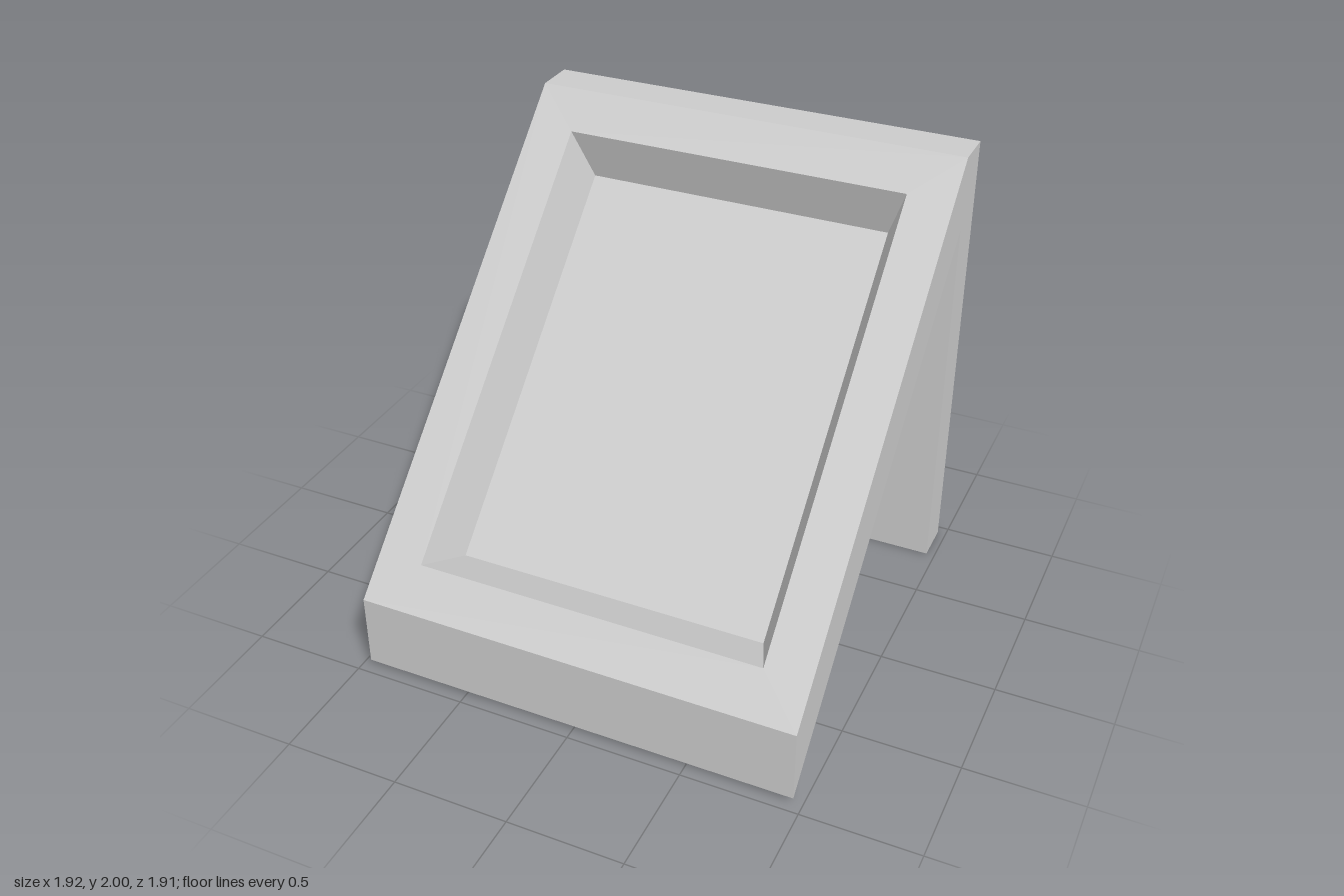
import * as THREE from 'three';

const HALF_WIDTH = 0.962;

// Four corners of a sloping rectangle, counter-clockwise seen from above.
function slopeLoop(halfW, [frontY, frontZ], [backY, backZ]) {
  return [
    [-halfW, frontY, frontZ], [halfW, frontY, frontZ],
    [halfW, backY, backZ], [-halfW, backY, backZ],
  ];
}

// Joins consecutive loops with walls and caps the first and last loop.
function loftLoops(loops) {
  const positions = [];
  const quad = (a, b, c, d) => [a, b, c, a, c, d].forEach((p) => positions.push(...p));
  for (let l = 0; l < loops.length - 1; l++) {
    for (let i = 0; i < 4; i++) {
      const j = (i + 1) % 4;
      quad(loops[l][i], loops[l][j], loops[l + 1][j], loops[l + 1][i]);
    }
  }
  quad(...[...loops[0]].reverse());
  quad(...loops[loops.length - 1]);
  const geometry = new THREE.BufferGeometry();
  geometry.setAttribute('position', new THREE.Float32BufferAttribute(positions, 3));
  geometry.computeVertexNormals();
  return geometry;
}

export function createModel() {
  const group = new THREE.Group();
  group.name = 'slopedStand';
  const material = new THREE.MeshStandardMaterial({ color: 0xcccccc, flatShading: true });

  // Sloping panel: underside, outer edge, rim, and a recess floor parallel to the slope
  const panel = new THREE.Mesh(loftLoops([
    slopeLoop(HALF_WIDTH, [0.028, 0.957], [1.674, -0.776]),
    slopeLoop(HALF_WIDTH, [0.355, 0.957], [2, -0.776]),
    slopeLoop(0.762, [0.497, 0.808], [1.862, -0.633]),
    slopeLoop(0.68, [0.425, 0.595], [1.645, -0.69]),
  ]), material);
  panel.name = 'recessedPanel';
  group.add(panel);

  // Upright back board
  const back = new THREE.Mesh(new THREE.BoxGeometry(HALF_WIDTH * 2, 2, 0.181), material);
  back.name = 'backSupport';
  back.position.set(0, 1, -0.8665);
  group.add(back);

  return group;
}
